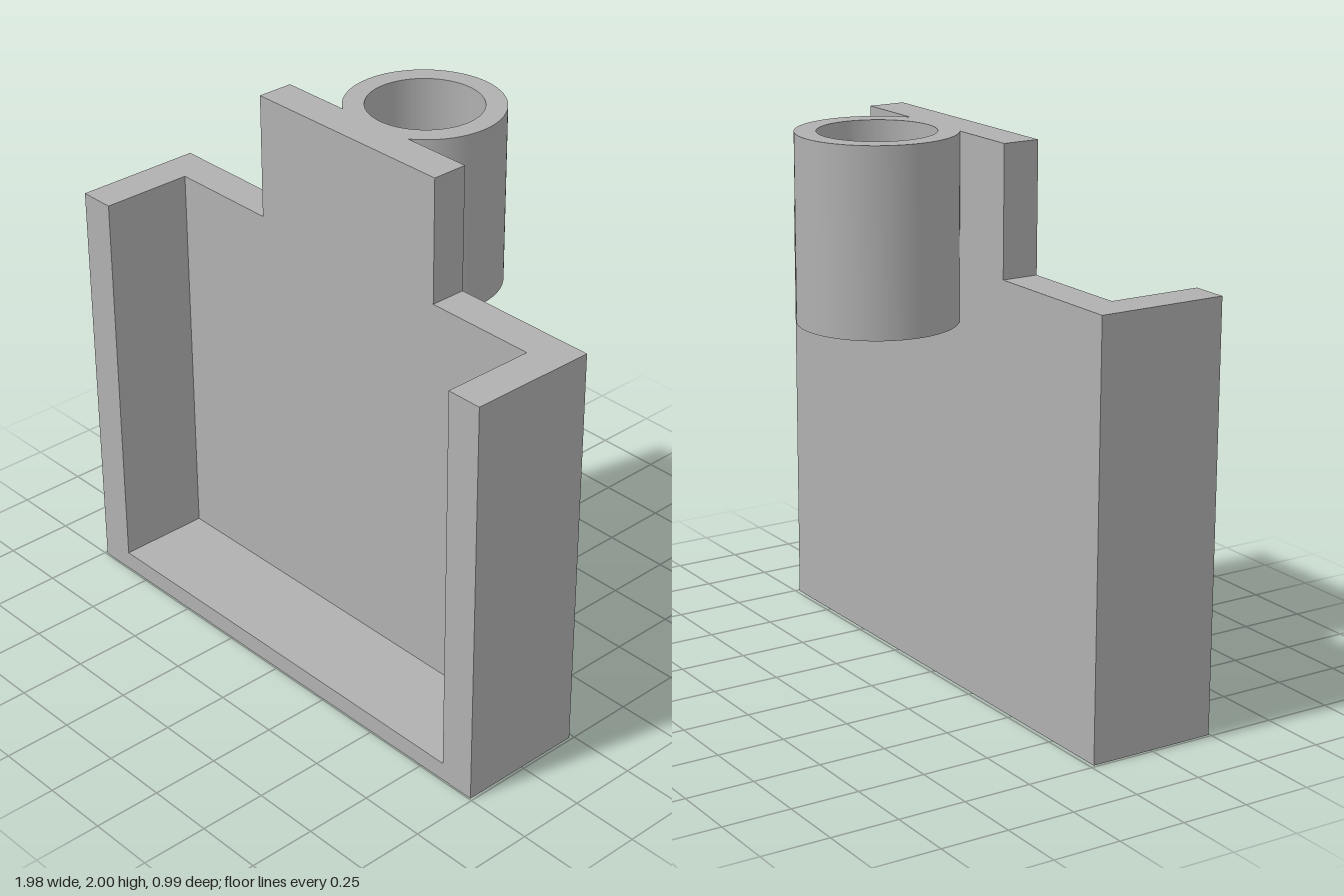
import * as THREE from 'three';
import { toCreasedNormals } from 'three/addons/utils/BufferGeometryUtils.js';

const grey = new THREE.MeshStandardMaterial({ color: 0xb0b0b0 });
grey.name = 'grey';

const W = 0.99, INNER = 0.855, TAB = 0.427;      // half widths
const FLOOR = 0.07, SHOULDER = 1.54, TOP = 2;    // heights
const BACK = 0.015, PANEL = 0.15, FRONT = 0.495; // depths

const outline = (points) => new THREE.Shape(points.map(([x, y]) => new THREE.Vector2(x, y)));

function extrude(name, shape, depth) {
  const flat = new THREE.ExtrudeGeometry(shape, { depth, bevelEnabled: false, curveSegments: 64 });
  const mesh = new THREE.Mesh(toCreasedNormals(flat, 0.5), grey);
  mesh.name = name;
  return mesh;
}

export function createModel() {
  const model = new THREE.Group();
  model.name = 'holder';

  // Back panel with its raised tab
  const panel = extrude('backPanel', outline([
    [-W, 0], [W, 0], [W, SHOULDER], [TAB, SHOULDER],
    [TAB, TOP], [-TAB, TOP], [-TAB, SHOULDER], [-W, SHOULDER],
  ]), PANEL - BACK);
  panel.position.z = BACK;

  // U-shaped rim: floor and two side walls, open at the top and front
  const rim = extrude('rim', outline([
    [-W, 0], [W, 0], [W, SHOULDER], [INNER, SHOULDER],
    [INNER, FLOOR], [-INNER, FLOOR], [-INNER, SHOULDER], [-W, SHOULDER],
  ]), FRONT - PANEL);
  rim.position.z = PANEL;

  // Upright tube, cut flat where it meets the panel
  const R = 0.28, BORE = 0.205, CENTRE = 0.215, BOTTOM = 1.34;
  const cut = Math.asin((CENTRE + BACK) / R);
  const ring = new THREE.Shape();
  ring.absarc(0, CENTRE, R, -cut, Math.PI + cut, false);
  ring.closePath();
  const bore = new THREE.Path();
  bore.absarc(0, CENTRE, BORE, 0, Math.PI * 2, true);
  ring.holes.push(bore);
  const tube = extrude('tube', ring, TOP - BOTTOM);
  tube.rotation.x = -Math.PI / 2;
  tube.position.y = BOTTOM;

  model.add(panel, rim, tube);
  return model;
}
